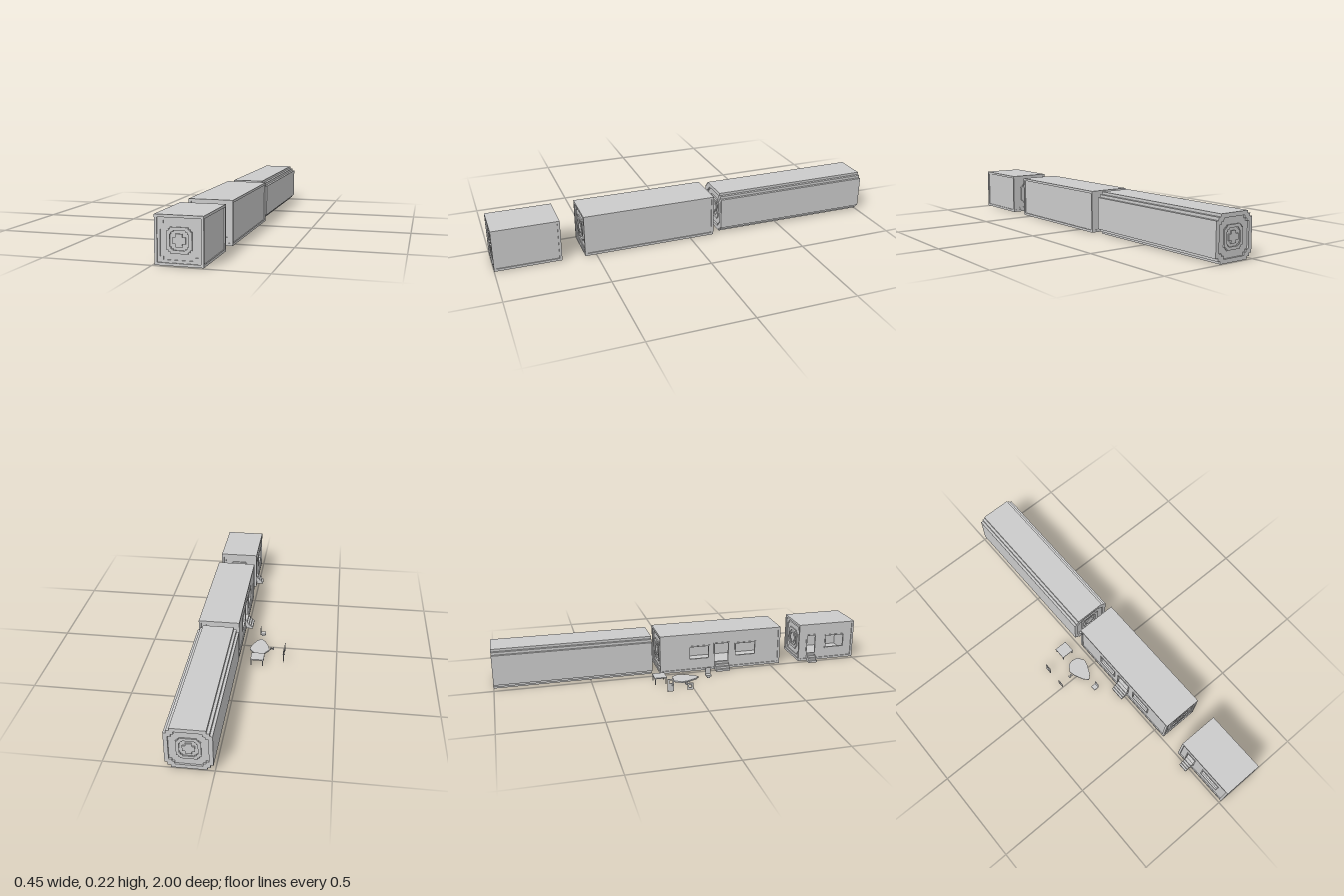
import * as THREE from 'three';

const mat = new THREE.MeshStandardMaterial({ color: 0xcccccc, flatShading: true, side: THREE.DoubleSide });

function add(parent, name, geo) {
  const m = new THREE.Mesh(geo, mat);
  m.name = name;
  parent.add(m);
  return m;
}

// Box given by its extents on each axis
function box(parent, name, x0, x1, y0, y1, z0, z1) {
  const m = add(parent, name, new THREE.BoxGeometry(x1 - x0, y1 - y0, z1 - z0));
  m.position.set((x0 + x1) / 2, (y0 + y1) / 2, (z0 + z1) / 2);
  return m;
}

const extrude = (shape, depth) => new THREE.ExtrudeGeometry(shape, { depth, bevelEnabled: false });

// Square outline with staircase corners; levels run from widest to narrowest
function stepped(levels) {
  const quarter = [];
  const n = levels.length;
  for (let i = 0; i < n; i++) {
    quarter.push([levels[i], levels[n - 1 - i]]);
    if (i < n - 1) quarter.push([levels[i + 1], levels[n - 1 - i]]);
  }
  const pts = [];
  for (let k = 0; k < 4; k++) {
    for (const [x, y] of quarter) {
      const r = [[x, y], [-y, x], [-x, -y], [y, -x]][k];
      pts.push(new THREE.Vector2(r[0], r[1]));
    }
  }
  return pts;
}

function ring(outer, inner) {
  const s = new THREE.Shape(stepped(outer));
  if (inner) s.holes.push(new THREE.Path(stepped(inner)));
  return s;
}

// Rectangular shape or hole
function rect(Type, x0, x1, y0, y1) {
  return new Type([[x0, y0], [x1, y0], [x1, y1], [x0, y1]].map(p => new THREE.Vector2(...p)));
}

// Decorated end wall; local +z points outward, z = 0 is the outermost plane
function endWall(rim) {
  const g = new THREE.Group();
  g.name = 'endWall';
  const put = (name, shape, z0, z1) => { add(g, name, extrude(shape, z1 - z0)).position.z = z0; };
  put('endPanel', ring([0.094, 0.08]), -0.016, -0.009);
  if (rim) {
    put('endRim', ring([0.106], [0.094]), -0.012, 0);
    put('innerRim', ring([0.094], [0.082]), -0.016, -0.005);
    for (const sx of [-1, 1]) for (const sy of [-1, 1]) {
      box(g, 'cornerBlock', sx * 0.075 - 0.007, sx * 0.075 + 0.007, sy * 0.075 - 0.007, sy * 0.075 + 0.007, -0.016, -0.005);
    }
  } else {
    put('endRim', ring([0.107, 0.094, 0.08], [0.088, 0.074, 0.062]), -0.016, 0);
  }
  put('outerRosette', ring([0.055, 0.047, 0.039], [0.041, 0.035, 0.026]), -0.01, -0.003);
  put('innerRosette', ring([0.028, 0.014]), -0.01, -0.003);
  return g;
}

function endWalls(parent, x, z0, z1, rim) {
  for (const [z, turn] of [[z1, 0], [z0, Math.PI]]) {
    const e = endWall(rim);
    e.position.set(x, 0.109, z);
    e.rotation.y = turn;
    parent.add(e);
  }
}

// Hollow cabin with door, windows and steps on its -x side
function cabin(name, z0, z1, door, windows) {
  const g = new THREE.Group();
  g.name = name;
  const x0 = 0.012, x1 = 0.224, y0 = 0.003, y1 = 0.215, t = 0.012;
  box(g, 'floor', x0, x1, y0, y0 + t, z0, z1);
  box(g, 'roof', x0, x1, y1 - t, y1, z0, z1);
  for (const x of [x0, x1 - t]) for (const z of [z0, z1 - t]) {
    box(g, 'cornerPost', x, x + t, y0 + t, y1 - t, z, z + t);
  }
  box(g, 'leftWall', x1 - 0.012, x1 - 0.005, y0 + t, y1 - t, z0 + t, z1 - t);

  const wall = rect(THREE.Shape, z0 + t, z1 - t, y0 + t, y1 - t);
  const openings = [[door[0], door[1], 0.045, 0.148], ...windows.map(w => [w[0], w[1], 0.072, 0.14])];
  openings.forEach((o, i) => {
    wall.holes.push(rect(THREE.Path, ...o));
    // Thin surround around each opening
    const [a, b, c, d] = o, f = 0.006;
    const surround = rect(THREE.Shape, a - f, b + f, c - f, d + f);
    surround.holes.push(rect(THREE.Path, ...o));
    const m = add(g, i ? 'windowFrame' : 'doorFrame', extrude(surround, 0.01));
    m.rotation.y = -Math.PI / 2;
    m.position.x = x0 + 0.012;
  });
  const w = add(g, 'rightWall', extrude(wall, 0.007));
  w.rotation.y = -Math.PI / 2;
  w.position.x = x0 + 0.012;
  endWalls(g, (x0 + x1) / 2, z0, z1, true);

  // Entrance steps
  for (let i = 0; i < 4; i++) {
    box(g, 'step', -0.024 + i * 0.0105, x0 + 0.005, i * 0.0115, (i + 1) * 0.0115, door[0], door[1]);
  }
  return g;
}

export function createModel() {
  const model = new THREE.Group();
  model.name = 'moduleCamp';

  model.add(cabin('smallCabin', 0.672, 1, [0.722, 0.77], [[0.835, 0.94]]));
  model.add(cabin('longCabin', -0.126, 0.557, [0.18, 0.257], [[0.04, 0.145], [0.3, 0.41]]));

  // Closed rear hull with stepped corners
  const hull = new THREE.Group();
  hull.name = 'rearHull';
  const body = add(hull, 'hullBody', extrude(ring([0.107, 0.094, 0.08]), 0.8));
  body.position.set(0.114, 0.109, -0.985);
  endWalls(hull, 0.114, -1, -0.17, false);
  model.add(hull);

  // Table
  const table = new THREE.Group();
  table.name = 'table';
  box(table, 'tableTop', -0.122, -0.053, 0.032, 0.038, -0.185, -0.12);
  for (const x of [-0.12, -0.06]) for (const z of [-0.183, -0.127]) {
    box(table, 'tableLeg', x, x + 0.005, 0, 0.032, z, z + 0.005);
  }
  model.add(table);

  // Rounded teardrop slab
  const half = [[0, -0.085], [0.03, -0.077], [0.053, -0.043], [0.046, -0.01], [0.022, 0.04]];
  const outline = [...half, [0, 0.06], ...half.slice(1).reverse().map(([x, z]) => [-x, z])];
  const slab = new THREE.Shape(outline.map(p => new THREE.Vector2(...p)));
  const pad = add(model, 'teardropSlab', extrude(slab, 0.008));
  pad.rotation.x = Math.PI / 2;
  pad.position.set(-0.087, 0.011, 0);

  // Chair
  const chair = new THREE.Group();
  chair.name = 'chair';
  box(chair, 'chairSeat', -0.105, -0.077, 0.01, 0.018, 0.1, 0.128);
  box(chair, 'chairBase', -0.098, -0.084, 0, 0.01, 0.107, 0.121);
  box(chair, 'chairBack', -0.079, -0.076, 0.01, 0.052, 0.1, 0.128);
  model.add(chair);

  // Small bracket beside the slab
  const bracket = new THREE.Group();
  bracket.name = 'bracket';
  for (const x of [-0.162, -0.148]) box(bracket, 'bracketEnd', x, x + 0.006, 0.001, 0.011, -0.028, -0.016);
  box(bracket, 'bracketBar', -0.158, -0.146, 0.004, 0.008, -0.024, -0.02);
  model.add(bracket);

  // Two thin upright panels
  const upright = (name, z0, z1, top, slotLow, slotHigh) => {
    const s = rect(THREE.Shape, z0, z1, 0, top);
    s.holes.push(rect(THREE.Path, z0 + 0.009, z1 - 0.009, slotLow, slotHigh));
    const m = add(model, name, extrude(s, 0.004));
    m.rotation.y = -Math.PI / 2;
    m.position.x = -0.22;
  };
  upright('tallPanel', -0.14, -0.106, 0.068, 0.044, 0.06);
  upright('shortPanel', -0.036, -0.004, 0.036, 0.012, 0.026);
  box(model, 'panelHandle', -0.228, -0.217, 0.032, 0.037, -0.117, -0.11);

  return model;
}
